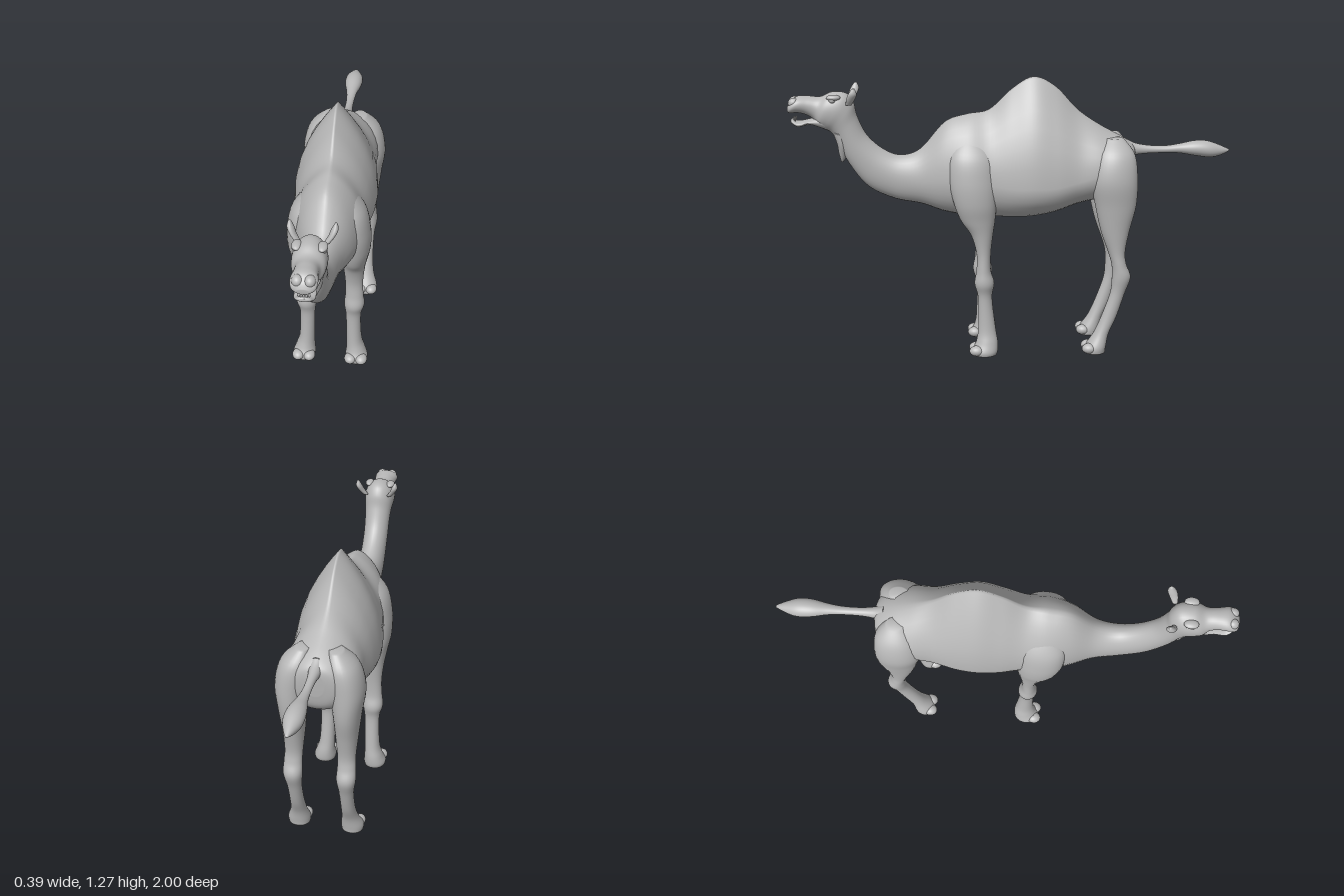
import * as THREE from 'three';

const hide = new THREE.MeshStandardMaterial({ color: 0xb8b8b8 });
hide.name = 'grey hide';

// Smooth skin through egg-shaped sections. Each row:
// [z1, y1, z2, y2, halfWidth, centreX, power, widest]
// (z1, y1) and (z2, y2) are the two ends of the section in the side plane;
// power narrows the first end, widest places the broadest point between ends.
function loft(name, rows, side = 1, steps = 6, around = 32) {
  rows = rows.map(r => [...r, ...[0, 1, 0.5].slice(r.length - 5)]);
  const pos = [], index = [];
  const rings = (rows.length - 1) * steps + 1;
  const spline = (a, b, c, d, t) =>
    b + 0.5 * t * (c - a + t * (2 * a - 5 * b + 4 * c - d + t * (3 * (b - c) + d - a)));
  const row = k => rows[Math.min(Math.max(k, 0), rows.length - 1)];
  const ends = [];
  for (let i = 0; i < rings; i++) {
    const k = Math.min(Math.floor(i / steps), rows.length - 2), t = i / steps - k;
    const [z1, y1, z2, y2, w, cx, p, m] = row(k).map((_, j) =>
      spline(row(k - 1)[j], row(k)[j], row(k + 1)[j], row(k + 2)[j], t));
    for (let j = 0; j < around; j++) {
      const a = (j / around) * Math.PI * 2, s = Math.sin(a), c = Math.cos(a);
      const f = s > 0 ? m + (1 - m) * s : m + m * s;
      const x = cx + w * Math.sign(c) * Math.pow(Math.abs(c), s > 0 ? p : 0.9);
      pos.push(x * side, y2 + (y1 - y2) * f, z2 + (z1 - z2) * f);
    }
    if (i === 0 || i === rings - 1) ends.push([cx * side, (y1 + y2) / 2, (z1 + z2) / 2]);
  }
  const at = (i, j) => i * around + (j % around);
  for (let i = 0; i < rings - 1; i++)
    for (let j = 0; j < around; j++)
      index.push(at(i, j), at(i, j + 1), at(i + 1, j), at(i, j + 1), at(i + 1, j + 1), at(i + 1, j));
  // Closing caps
  const first = rings * around;
  pos.push(...ends[0], ...ends[1]);
  for (let j = 0; j < around; j++) {
    index.push(first, at(0, j + 1), at(0, j));
    index.push(first + 1, at(rings - 1, j), at(rings - 1, j + 1));
  }
  // Turn the faces outward if the enclosed volume is negative
  const v = k => new THREE.Vector3().fromArray(pos, k * 3);
  let volume = 0;
  for (let i = 0; i < index.length; i += 3)
    volume += v(index[i]).dot(v(index[i + 1]).cross(v(index[i + 2])));
  if (volume < 0) index.reverse();
  const geo = new THREE.BufferGeometry();
  geo.setAttribute('position', new THREE.Float32BufferAttribute(pos, 3));
  geo.setIndex(index);
  geo.computeVertexNormals();
  const mesh = new THREE.Mesh(geo, hide);
  mesh.name = name;
  return mesh;
}

function ellipsoid(name, center, radii) {
  const mesh = new THREE.Mesh(new THREE.SphereGeometry(1, 20, 14), hide);
  mesh.name = name;
  mesh.position.set(...center);
  mesh.scale.set(...radii);
  return mesh;
}

// Leg rows: [y, front z, back z, centre x, half width]
const leg = (name, rows, side) =>
  loft(name, rows.map(([y, zf, zb, x, w]) => [zf, y, zb, y, w, x]), side);

const frontLegRows = [
  [1.02, 0.23, 0.15, 0.06, 0.03], [0.93, 0.28, 0.09, 0.1, 0.06],
  [0.82, 0.285, 0.075, 0.115, 0.07], [0.72, 0.265, 0.075, 0.12, 0.066],
  [0.64, 0.235, 0.08, 0.115, 0.056], [0.57, 0.19, 0.09, 0.11, 0.049],
  [0.48, 0.165, 0.1, 0.11, 0.041], [0.4, 0.166, 0.1, 0.112, 0.042],
  [0.34, 0.175, 0.085, 0.112, 0.047], [0.27, 0.16, 0.095, 0.108, 0.035],
  [0.125, 0.16, 0.08, 0.112, 0.036], [0.06, 0.17, 0.07, 0.12, 0.044],
  [0.02, 0.19, 0.07, 0.125, 0.053], [0, 0.185, 0.076, 0.125, 0.05],
];
const hindLegRows = [
  [1.0, -0.42, -0.5, 0.07, 0.03], [0.93, -0.37, -0.55, 0.1, 0.068],
  [0.82, -0.35, -0.562, 0.12, 0.075], [0.7, -0.372, -0.558, 0.12, 0.062],
  [0.58, -0.4, -0.53, 0.118, 0.05], [0.48, -0.435, -0.513, 0.118, 0.041],
  [0.42, -0.452, -0.52, 0.12, 0.041], [0.36, -0.455, -0.54, 0.12, 0.043],
  [0.28, -0.448, -0.515, 0.118, 0.033], [0.17, -0.41, -0.48, 0.118, 0.032],
  [0.09, -0.375, -0.445, 0.12, 0.038], [0.03, -0.335, -0.432, 0.125, 0.052],
  [0, -0.33, -0.428, 0.125, 0.05],
];

export function createModel() {
  const model = new THREE.Group();
  model.name = 'camel';

  // Rump, hump and chest flowing into the curved neck and upper head
  model.add(loft('bodyNeckAndHead', [
    [-0.565, 0.93, -0.56, 0.82, 0.04],
    [-0.55, 0.96, -0.545, 0.76, 0.1],
    [-0.5, 0.995, -0.5, 0.72, 0.145, 0, 1.1],
    [-0.4, 1.05, -0.4, 0.71, 0.165, 0, 1.3, 0.4],
    [-0.3, 1.12, -0.3, 0.69, 0.167, 0, 1.7, 0.3],
    [-0.2, 1.225, -0.2, 0.655, 0.183, 0, 2, 0.25],
    [-0.1, 1.27, -0.1, 0.635, 0.19, 0, 2, 0.25],
    [0, 1.215, 0, 0.63, 0.18, 0, 2, 0.28],
    [0.1, 1.125, 0.1, 0.635, 0.162, 0, 1.7, 0.35],
    [0.2, 1.105, 0.2, 0.64, 0.158, 0, 1.4, 0.4],
    [0.3, 1.07, 0.31, 0.66, 0.125, 0, 1.3, 0.4],
    [0.41, 0.95, 0.41, 0.695, 0.083, 0, 1.1, 0.45],
    [0.5, 0.92, 0.53, 0.72, 0.066],
    [0.58, 0.95, 0.65, 0.78, 0.06],
    [0.65, 1.015, 0.735, 0.89, 0.058],
    [0.69, 1.1, 0.78, 0.99, 0.06],
    [0.705, 1.165, 0.81, 1.03, 0.066],
    [0.738, 1.205, 0.84, 1.045, 0.071],
    [0.8, 1.21, 0.865, 1.06, 0.067],
    [0.85, 1.19, 0.885, 1.09, 0.05],
    [0.9, 1.193, 0.915, 1.11, 0.048],
    [0.95, 1.193, 0.953, 1.12, 0.054],
    [0.983, 1.17, 0.983, 1.118, 0.048],
    [0.998, 1.146, 0.996, 1.122, 0.025],
  ]));

  // Open lower jaw with a row of small teeth
  model.add(loft('lowerJaw', [
    [0.82, 1.12, 0.81, 1.035, 0.05], [0.86, 1.105, 0.855, 1.052, 0.05],
    [0.9, 1.09, 0.9, 1.066, 0.043], [0.95, 1.082, 0.95, 1.056, 0.042],
    [0.975, 1.092, 0.978, 1.07, 0.03], [0.983, 1.09, 0.985, 1.078, 0.014],
  ]));
  for (let i = -2; i <= 2; i++)
    model.add(ellipsoid('tooth', [i * 0.01, 1.092, 0.971 - i * i * 0.002], [0.005, 0.009, 0.004]));

  // Throat tuft
  model.add(loft('throatTuft', [
    [0.805, 1.035, 0.73, 1.02, 0.05], [0.785, 0.98, 0.735, 0.96, 0.042],
    [0.777, 0.93, 0.74, 0.92, 0.024], [0.767, 0.89, 0.76, 0.89, 0.004],
  ]));

  // Tail with a flattened tuft
  model.add(loft('tail', [
    [-0.52, 0.985, -0.52, 0.89, 0.035], [-0.56, 0.963, -0.56, 0.905, 0.026],
    [-0.62, 0.95, -0.62, 0.912, 0.019], [-0.7, 0.946, -0.7, 0.914, 0.019],
    [-0.77, 0.955, -0.77, 0.912, 0.026], [-0.84, 0.968, -0.84, 0.9, 0.04],
    [-0.9, 0.966, -0.91, 0.891, 0.041], [-0.96, 0.945, -0.96, 0.9, 0.024],
    [-1, 0.926, -1, 0.918, 0.006],
  ]));

  for (const side of [1, -1]) {
    const s = side > 0 ? 'left' : 'right';
    model.add(leg(s + 'FrontLeg', frontLegRows, side));
    model.add(leg(s + 'HindLeg', hindLegRows, side));
    // Two broad toes on each foot
    for (const z of [0.168, -0.352])
      for (const dx of [-0.026, 0.026])
        model.add(ellipsoid('toe', [side * (0.125 + dx), 0.024, z], [0.029, 0.024, 0.034]));
    // Ears, brows, eyes and nostril swellings
    model.add(loft(s + 'Ear', [
      [0.735, 1.16, 0.71, 1.16, 0.012, 0.058], [0.732, 1.185, 0.695, 1.185, 0.013, 0.075],
      [0.722, 1.212, 0.684, 1.212, 0.014, 0.087], [0.704, 1.238, 0.692, 1.238, 0.005, 0.091],
    ], side));
    model.add(ellipsoid(s + 'Brow', [side * 0.05, 1.192, 0.79], [0.021, 0.013, 0.032]));
    model.add(ellipsoid(s + 'Eye', [side * 0.057, 1.18, 0.795], [0.012, 0.011, 0.014]));
    model.add(ellipsoid(s + 'Nostril', [side * 0.024, 1.165, 0.966], [0.023, 0.024, 0.026]));
  }
  return model;
}
